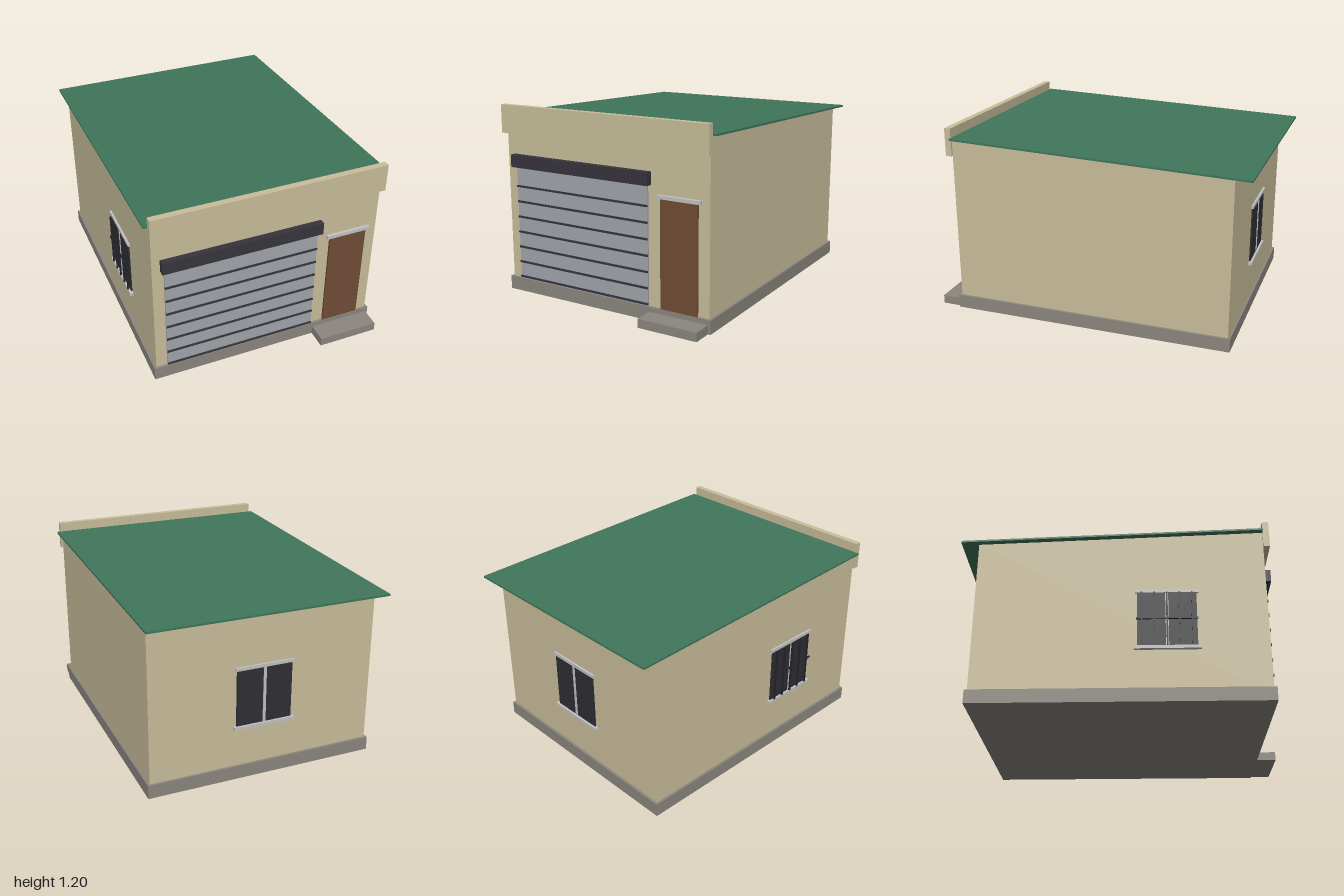
import * as THREE from 'three';

const mat = (name, color) => {
  const m = new THREE.MeshStandardMaterial({ color });
  m.name = name;
  return m;
};

export function createModel() {
  const model = new THREE.Group();
  model.name = 'garage';

  const wall = mat('wall cream', 0xc9be9b);
  const green = mat('roof green', 0x3f765a);
  const stone = mat('plinth grey', 0x8b867e);
  const steel = mat('shutter grey', 0xa1a5aa);
  const dark = mat('dark metal', 0x37353c);
  const wood = mat('door brown', 0x704d35);
  const trim = mat('trim light grey', 0xc3c2c2);
  const glass = mat('window glass', 0x2f2e34);
  const iron = mat('bar iron', 0x25252a);

  // Box given by its minimum and maximum corners
  const box = (name, material, x0, x1, y0, y1, z0, z1, parent = model) => {
    const mesh = new THREE.Mesh(new THREE.BoxGeometry(x1 - x0, y1 - y0, z1 - z0), material);
    mesh.position.set((x0 + x1) / 2, (y0 + y1) / 2, (z0 + z1) / 2);
    mesh.name = name;
    parent.add(mesh);
    return mesh;
  };

  // Side profile of [z, y] points swept across the width
  const sweep = (name, material, points, halfWidth) => {
    const shape = new THREE.Shape(points.map(([z, y]) => new THREE.Vector2(-z, y)));
    const geo = new THREE.ExtrudeGeometry(shape, { depth: halfWidth * 2, bevelEnabled: false });
    geo.translate(0, 0, -halfWidth).rotateY(Math.PI / 2);
    const mesh = new THREE.Mesh(geo, material);
    mesh.name = name;
    model.add(mesh);
  };

  // Walls and pitched roof
  const roofY = (z) => 1.125 + (z - 0.86) * 0.0333;
  sweep('walls', wall, [[0.86, 0.04], [-0.895, 0.04], [-0.895, roofY(-0.895)], [0.86, roofY(0.86)]], 0.72);
  sweep('roof', green, [[0.86, roofY(0.86)], [-1, roofY(-1)], [-1, roofY(-1) + 0.012], [0.86, roofY(0.86) + 0.012]], 0.755);
  box('parapet', wall, -0.732, 0.732, 1.02, 1.195, 0.86, 0.9);

  // Base and doorstep
  box('plinth', stone, -0.735, 0.735, 0, 0.085, -0.91, 0.875);
  box('doorstep', stone, 0.33, 0.718, 0, 0.055, 0.875, 1);

  // Roller shutter with dark joints and housing
  box('shutter', steel, -0.65, 0.317, 0.085, 0.81, 0.86, 0.87);
  for (let i = 0; i < 7; i++) {
    const y = 0.098 + i * 0.0982;
    box('shutterJoint', dark, -0.65, 0.317, y - 0.006, y + 0.006, 0.87, 0.877);
  }
  box('shutterHousing', dark, -0.67, 0.335, 0.81, 0.888, 0.86, 0.9);

  // Entrance door
  box('door', wood, 0.402, 0.647, 0.085, 0.74, 0.86, 0.872);
  box('doorLintel', trim, 0.382, 0.667, 0.74, 0.762, 0.86, 0.88);

  // Window facing +z in its own frame, origin on the wall surface
  const makeWindow = (name, barred) => {
    const g = new THREE.Group();
    g.name = name;
    box('windowGlass', glass, -0.178, 0.178, 0.35, 0.705, 0, 0.008, g);
    box('windowMullion', trim, -0.009, 0.009, 0.35, 0.705, 0.008, 0.012, g);
    box('windowSill', trim, -0.198, 0.198, 0.33, 0.35, 0, 0.022, g);
    box('windowHead', trim, -0.19, 0.19, 0.705, 0.725, 0, 0.013, g);
    if (barred) {
      for (let i = 0; i < 5; i++) {
        const x = -0.15 + i * 0.075;
        box('windowBar', iron, x - 0.005, x + 0.005, 0.35, 0.705, 0.014, 0.024, g);
      }
      box('windowCrossBar', iron, -0.185, 0.185, 0.523, 0.533, 0.014, 0.024, g);
    }
    model.add(g);
    return g;
  };

  const back = makeWindow('backWindow', false);
  back.position.z = -0.895;
  back.rotation.y = Math.PI;

  const side = makeWindow('sideWindow', true);
  side.position.set(-0.72, 0, 0.26);
  side.rotation.y = -Math.PI / 2;

  return model;
}
